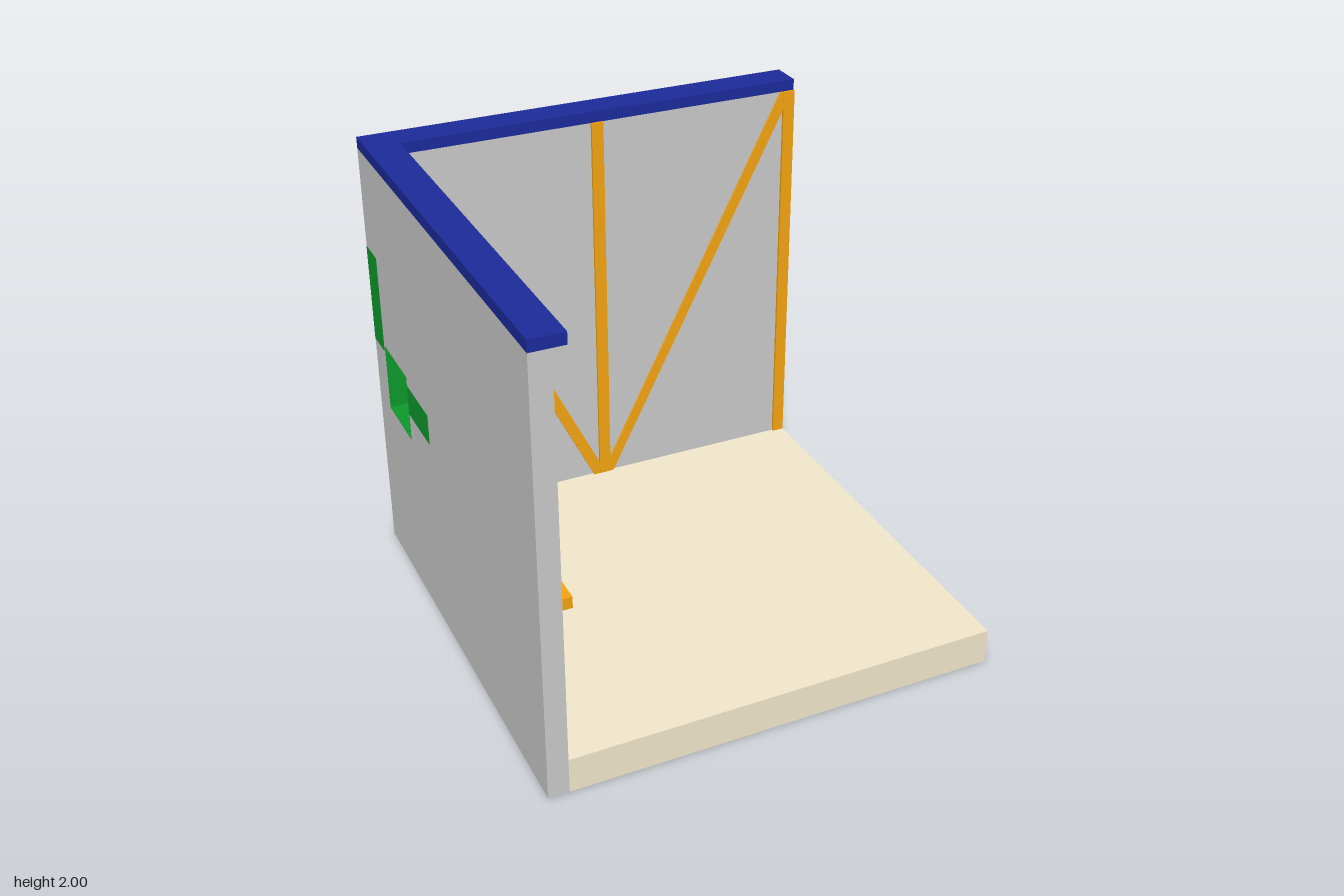
import * as THREE from 'three';

const mat = (color) => new THREE.MeshStandardMaterial({ color });

export function createModel() {
  const room = new THREE.Group();
  room.name = 'roomCorner';
  const grey = mat(0xcccccc), blue = mat(0x1c2b9b), orange = mat(0xf5a511);
  const beige = mat(0xf2e8cc), dark = mat(0x80807c), green = mat(0x0d9a2c);

  // Box given by its limits on each axis
  const box = (name, material, x0, x1, y0, y1, z0, z1, parent = room) => {
    const mesh = new THREE.Mesh(new THREE.BoxGeometry(x1 - x0, y1 - y0, z1 - z0), material);
    mesh.position.set((x0 + x1) / 2, (y0 + y1) / 2, (z0 + z1) / 2);
    mesh.name = name;
    parent.add(mesh);
    return mesh;
  };
  const outline = (points) => points.map(([x, y]) => new THREE.Vector2(x, y));
  const group = (name) => {
    const g = new THREE.Group();
    g.name = name;
    room.add(g);
    return g;
  };

  const inner = -0.91;  // inside face of the side wall
  const back = -0.855;  // inside face of the back wall
  const floorY = 0.16, wallTop = 1.95;

  // Floor slab with a grey underside
  box('floor', [beige, beige, beige, grey, beige, beige], inner, 1, 0, floorY, back, 1);

  // Side wall with a window, drawn in z and y, then turned
  const win = { z0: -0.85, z1: -0.54, y0: 0.77, y1: 1.08 };
  const wall = new THREE.Shape(outline([[-1, 0], [1, 0], [1, wallTop], [-1, wallTop]]));
  wall.holes.push(new THREE.Path(outline([
    [win.z0, win.y0], [win.z0, win.y1], [win.z1, win.y1], [win.z1, win.y0]])));
  const wallGeometry = new THREE.ExtrudeGeometry(wall, { depth: 0.09, bevelEnabled: false });
  wallGeometry.rotateY(-Math.PI / 2);
  const sideWall = new THREE.Mesh(wallGeometry, grey);
  sideWall.position.x = inner;
  sideWall.name = 'sideWall';
  room.add(sideWall);

  box('backWall', grey, inner, 1, 0, wallTop, -1, back);

  // Green window reveals and outside patches
  const reveal = group('windowReveal');
  const t = 0.003;
  box('sill', green, -1, inner, win.y0, win.y0 + t, win.z0, win.z1, reveal);
  box('lintel', green, -1, inner, win.y1 - t, win.y1, win.z0, win.z1, reveal);
  box('backJamb', green, -1, inner, win.y0, win.y1, win.z0, win.z0 + t, reveal);
  box('frontJamb', green, -1, inner, win.y0, win.y1, win.z1 - t, win.z1, reveal);
  box('tallPatch', green, -1.001, -0.999, 1.05, 1.5, -1, -0.86);
  box('widePatch', green, -1.001, -0.999, 0.9, 1.04, win.z1, -0.26);

  // Blue coping on both walls
  box('backCoping', blue, -1, 1, wallTop, 2, -1, -0.855);
  box('sideCoping', blue, -1, -0.855, wallTop, 2, -0.855, 1);

  // Orange frame on the back wall: posts and V braces
  const frame = group('backFrame');
  const frameZ = back + 0.012;
  for (const x of [inner, 0, 0.945]) {
    box('post', orange, x, x + 0.055, floorY, wallTop, back, frameZ, frame);
  }
  const braces = [
    [[-0.86, 1.95], [-0.86, 1.87], [-0.03, floorY], [0.03, floorY], [-0.84, 1.95]],
    [[0.945, 1.95], [0.93, 1.95], [0.02, floorY], [0.07, floorY], [0.945, 1.87]],
  ];
  for (const points of braces) {
    const brace = new THREE.Mesh(new THREE.ExtrudeGeometry(
      new THREE.Shape(outline(points)), { depth: 0.011, bevelEnabled: false }), orange);
    brace.position.z = back;
    brace.name = 'brace';
    frame.add(brace);
  }

  // Rail along the side wall with three small brackets
  box('rail', orange, inner, -0.87, 0.87, 0.92, win.z1, 1);
  for (const z of [0.65, 0.1, -0.48]) {
    box('bracket', orange, -0.9, -0.855, 0.862, 0.887, z - 0.042, z + 0.042);
  }

  // Framed doors on the side wall
  const top = 0.72, w = 0.025, face = inner + 0.005;
  for (const [z0, z1] of [[0.42, 0.87], [-0.147, 0.318], [-0.717, -0.25]]) {
    const door = group('door');
    box('panel', dark, inner, inner + 0.003, floorY, top - w, z0 + w, z1 - w, door);
    box('header', blue, inner, face, top - w, top, z0, z1, door);
    box('stile', blue, inner, face, floorY, top - w, z0, z0 + w, door);
    box('stile', blue, inner, face, floorY, top - w, z1 - w, z1, door);
  }

  // Blue plates above the first two doors
  for (const z of [0.65, 0.097]) {
    box('plate', blue, inner, face, 0.762, 0.822, z - 0.062, z + 0.062);
  }
  return room;
}
